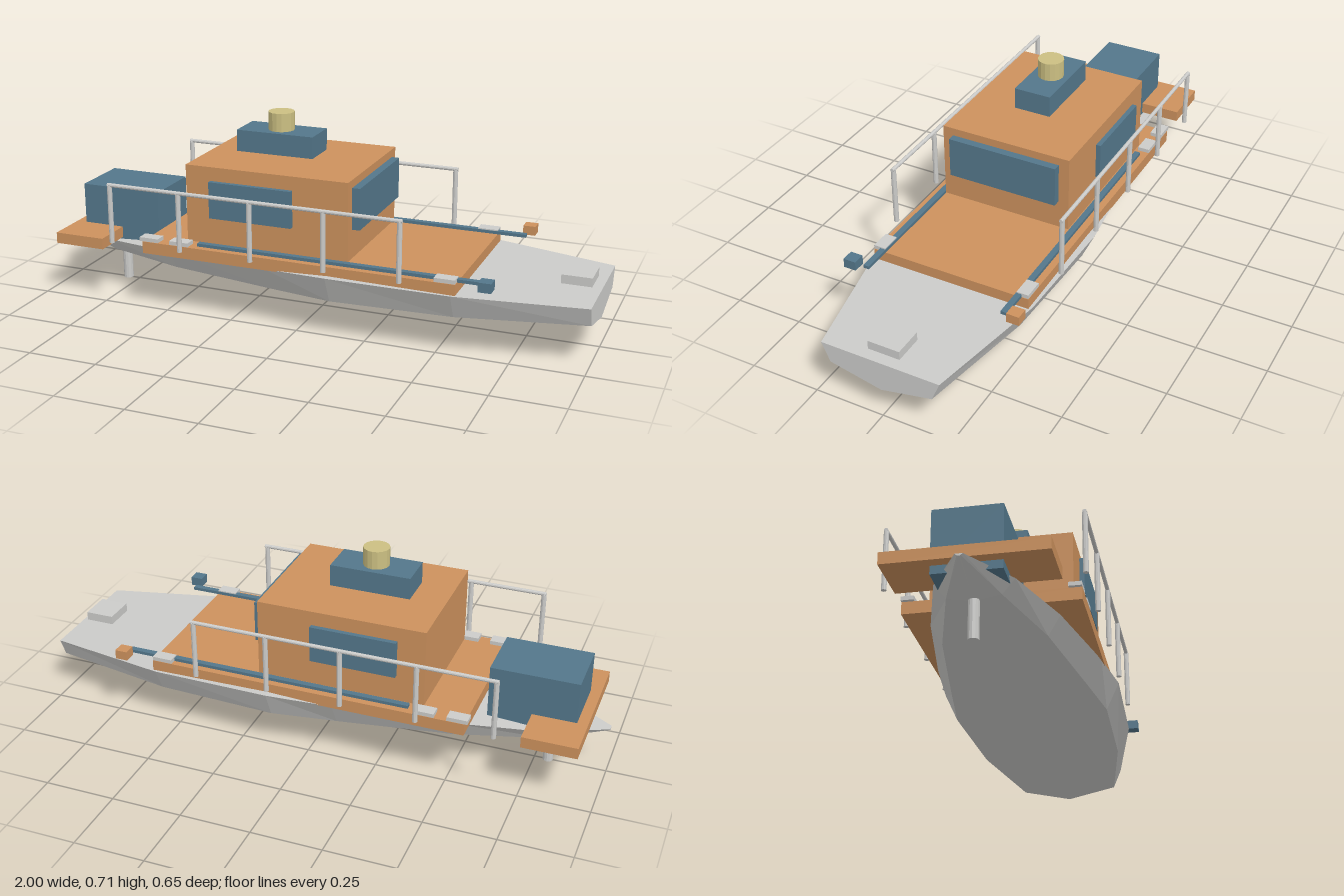
import * as THREE from 'three';

const mat = (name, color) => {
  const m = new THREE.MeshStandardMaterial({ color });
  m.name = name;
  return m;
};

export function createModel() {
  const boat = new THREE.Group();
  boat.name = 'boat';
  const grey = mat('light grey', 0xcbcbc9);
  const orange = mat('orange', 0xcc915d);
  const blue = mat('slate blue', 0x54778b);
  const khaki = mat('khaki', 0xcbbf82);
  grey.flatShading = khaki.flatShading = true;

  const add = (name, geo, material, x, y, z) => {
    const mesh = new THREE.Mesh(geo, material);
    mesh.name = name;
    mesh.position.set(x, y, z);
    boat.add(mesh);
    return mesh;
  };
  // Box from its lower and upper limits on each axis
  const box = (name, material, x0, x1, y0, y1, z0, z1) =>
    add(name, new THREE.BoxGeometry(x1 - x0, y1 - y0, z1 - z0), material,
      (x0 + x1) / 2, (y0 + y1) / 2, (z0 + z1) / 2);
  // Upright cylinder between two heights
  const post = (name, material, r, x, y0, y1, z, sides = 12) =>
    add(name, new THREE.CylinderGeometry(r, r, y1 - y0, sides), material, x, (y0 + y1) / 2, z);

  // Hull sections: x, deck half width, deck y, chine half width, chine y, keel y
  const sections = [
    [-1, 0.012, 0.178, 0.006, 0.172, 0.17],
    [-0.8, 0.125, 0.19, 0.085, 0.14, 0.125],
    [-0.5, 0.21, 0.207, 0.17, 0.137, 0.103],
    [-0.1, 0.285, 0.224, 0.235, 0.135, 0.085],
    [0.13, 0.315, 0.233, 0.27, 0.135, 0.078],
    [0.56, 0.3, 0.227, 0.255, 0.138, 0.086],
    [1, 0.213, 0.216, 0.184, 0.147, 0.107],
  ];
  const rings = sections.map(([x, dw, dy, cw, cy, ky]) =>
    [[x, dy, dw], [x, cy, cw], [x, ky, 0], [x, cy, -cw], [x, dy, -dw]]);
  const verts = [];
  const tri = (a, b, c) => verts.push(...a, ...b, ...c);
  for (let i = 0; i < rings.length - 1; i++) {
    for (let j = 0; j < 5; j++) {
      const k = (j + 1) % 5, a = rings[i], b = rings[i + 1];
      tri(a[j], a[k], b[k]);
      tri(a[j], b[k], b[j]);
    }
  }
  const stern = rings[0], bow = rings[rings.length - 1];
  for (let j = 1; j < 4; j++) {
    tri(bow[0], bow[j], bow[j + 1]);
    tri(stern[0], stern[j + 1], stern[j]);
  }
  const hull = new THREE.BufferGeometry();
  hull.setAttribute('position', new THREE.Float32BufferAttribute(verts, 3));
  hull.computeVertexNormals();
  add('hull', hull, grey, 0, 0, 0);

  // Deck, cabin and roof
  box('raisedDeck', orange, -0.567, 0.573, 0.222, 0.265, -0.29, 0.29);
  box('cabin', orange, -0.413, 0.185, 0.273, 0.55, -0.24, 0.24);
  box('frontWindow', blue, 0.185, 0.213, 0.376, 0.522, -0.202, 0.202);
  box('roofBox', blue, -0.298, -0.012, 0.565, 0.642, -0.067, 0.067);
  post('funnel', khaki, 0.046, -0.155, 0.642, 0.707, 0, 16);
  box('bowHatch', grey, 0.868, 0.972, 0.23, 0.261, -0.057, 0.057);

  // Stern platform, engine and rudder post
  box('sternPlatform', orange, -0.94, -0.75, 0.2, 0.24, -0.257, 0.257);
  box('engineBox', blue, -0.903, -0.598, 0.172, 0.388, -0.11, 0.11);
  post('rudderPost', grey, 0.018, -0.797, 0, 0.16, 0);

  // Parts mirrored on both sides
  for (const s of [1, -1]) {
    const side = s > 0 ? 'Left' : 'Right';
    const sideBox = (name, material, x0, x1, y0, y1, z0, z1) =>
      box(name + side, material, x0, x1, y0, y1, Math.min(s * z0, s * z1), Math.max(s * z0, s * z1));
    sideBox('sideWindow', blue, -0.317, -0.013, 0.373, 0.503, 0.246, 0.263);
    sideBox('deckBar', blue, -0.365, 0.675, 0.265, 0.276, 0.245, 0.266);
    sideBox('lamp', s > 0 ? blue : orange, 0.657, 0.701, 0.265, 0.298, 0.279, 0.324);
    for (const x of [-0.542, -0.426, 0.536])
      sideBox('cleat', grey, x - 0.036, x + 0.036, 0.266, 0.28, 0.247, 0.29);
    for (let i = 0; i < 5; i++)
      post('railPost' + side, grey, 0.009, -0.673 + i * 0.266, 0.256, 0.467, s * 0.317, 10);
    const rail = add('handRail' + side, new THREE.CylinderGeometry(0.007, 0.007, 1.08, 10),
      grey, -0.14, 0.468, s * 0.317);
    rail.rotation.z = Math.PI / 2;
  }
  return boat;
}
